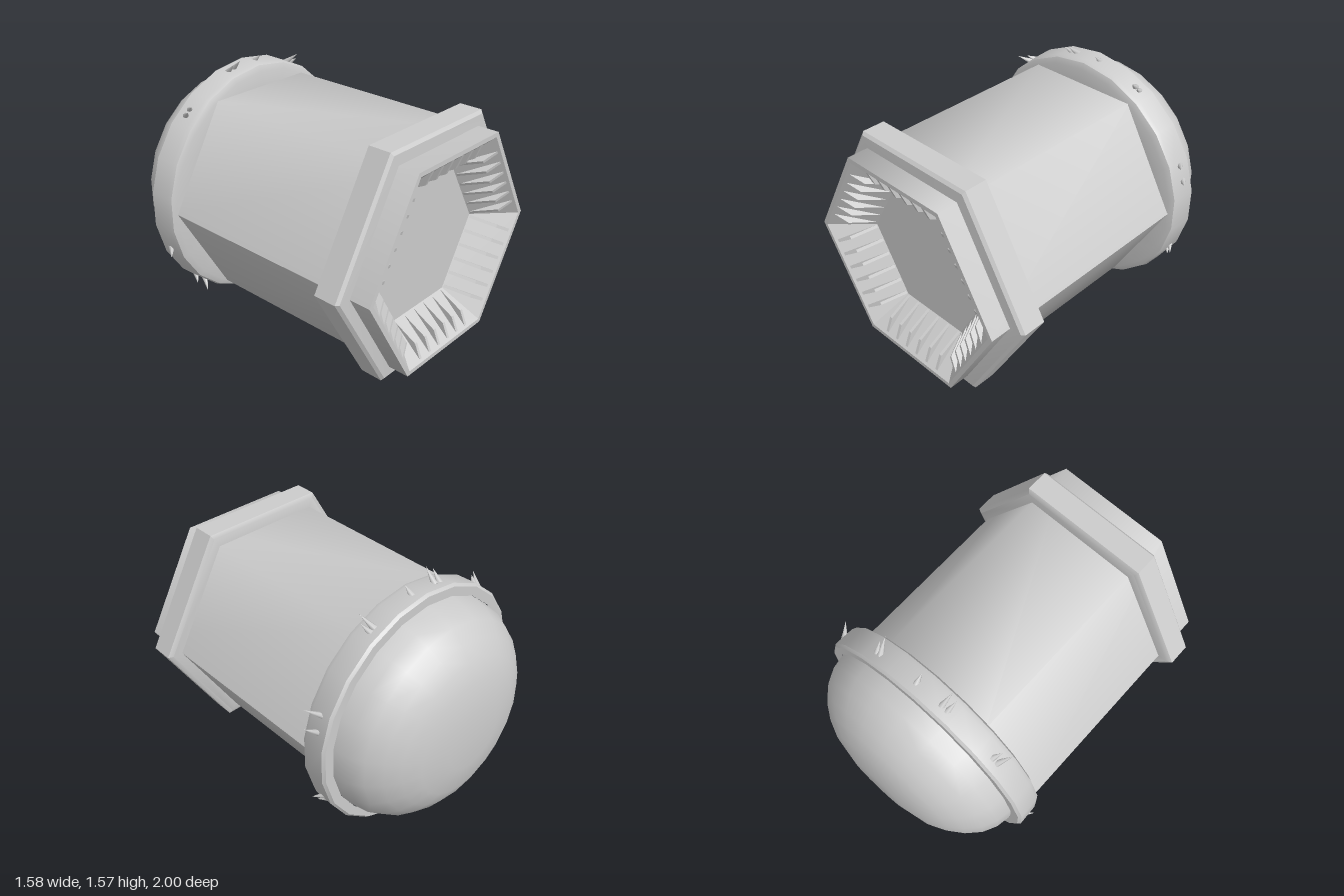
import * as THREE from 'three';
import { toCreasedNormals } from 'three/addons/utils/BufferGeometryUtils.js';

const material = new THREE.MeshStandardMaterial({ color: 0xcccccc });

// Profile of [radius, z] pairs, ordered outward-facing, spun about the z axis
function spin(profile, sides, start = 0, length = Math.PI * 2) {
  const points = profile.map(([r, z]) => new THREE.Vector2(r, z));
  return new THREE.LatheGeometry(points, sides, start, length).rotateX(Math.PI / 2);
}

export function createModel() {
  const model = new THREE.Group();
  model.name = 'hexCanister';
  const core = new THREE.Group();
  core.name = 'canister';
  core.position.y = 0.78;
  model.add(core);

  const add = (name, geometry, parent = core) => {
    const mesh = new THREE.Mesh(geometry, material);
    mesh.name = name;
    parent.add(mesh);
    return mesh;
  };
  const creased = (geometry) => toCreasedNormals(geometry, 0.5);
  const hexStart = Math.PI / 2; // corners on the x axis

  // Hexagonal body in two halves: soft upper and lower edges, sharp side edges
  for (const [name, start] of [['upperBody', hexStart], ['lowerBody', -hexStart]]) {
    const half = spin([[0.7, -0.46], [0.7, 1]], 3, start, Math.PI);
    half.computeVertexNormals();
    add(name, half);
  }

  // Front rim, sloping recess walls and recess floor
  add('recess', creased(spin(
    [[0.7, 1], [0.67, 1], [0.46, 0.8], [0, 0.8]], 6, hexStart)));

  // Raised bevelled collar near the front
  add('collar', creased(spin(
    [[0.69, 0.7], [0.76, 0.705], [0.79, 0.72], [0.79, 0.855], [0.77, 0.87], [0.69, 0.875]],
    6, hexStart)));

  // Six thin triangular fins on each recess wall
  const finShape = new THREE.Shape();
  finShape.moveTo(0.575, 0.99);
  finShape.lineTo(0.48, 0.95);
  finShape.lineTo(0.40, 0.80);
  finShape.lineTo(0.45, 0.80);
  finShape.closePath();
  const width = 0.018;
  const finGeometry = new THREE.ExtrudeGeometry(finShape, { depth: width, bevelEnabled: false });
  finGeometry.translate(0, 0, -width / 2);
  // shape x -> y (outward), shape y -> z, depth -> x
  finGeometry.applyMatrix4(new THREE.Matrix4().makeBasis(
    new THREE.Vector3(0, 1, 0), new THREE.Vector3(0, 0, 1), new THREE.Vector3(1, 0, 0)));
  for (let side = 0; side < 6; side++) {
    const fins = new THREE.Group();
    fins.name = 'wallFins';
    fins.rotation.z = side * Math.PI / 3;
    for (let i = 0; i < 6; i++) {
      add('fin', finGeometry, fins).position.x = (i - 2.5) * 0.087;
    }
    core.add(fins);
  }

  // Round band behind the body
  add('rearBand', creased(spin(
    [[0.68, -0.62], [0.735, -0.62], [0.75, -0.605], [0.745, -0.48],
      [0.735, -0.455], [0.7, -0.44], [0.55, -0.44]].map(([r, z]) => [r, z]), 22)));

  // Smooth rear dome
  add('rearDome', spin(
    [[0, -1], [0.19, -1], [0.37, -0.965], [0.47, -0.92], [0.55, -0.865],
      [0.62, -0.79], [0.66, -0.71], [0.68, -0.6]], 22));

  // Small forward-leaning spikes scattered round the band: [x, y, length]
  const spikes = [
    [0.70, 0.30, 0.11], [0.73, 0.20, 0.08], [0.68, -0.30, 0.08], [0.66, -0.33, 0.06],
    [0.11, -0.74, 0.08], [0.17, -0.73, 0.11], [-0.46, -0.60, 0.10], [-0.53, -0.54, 0.08],
    [-0.71, -0.27, 0.10], [-0.52, 0.55, 0.11], [-0.48, 0.57, 0.07], [-0.17, 0.73, 0.09],
    [-0.13, 0.74, 0.11], [0.05, 0.75, 0.07], [0.33, 0.68, 0.11], [0.36, 0.67, 0.07],
  ];
  const up = new THREE.Vector3(0, 1, 0);
  for (const [x, y, length] of spikes) {
    const out = new THREE.Vector3(x, y, 0).normalize();
    const spike = add('spike', new THREE.ConeGeometry(0.02, length, 7).translate(0, length / 2, 0));
    spike.position.copy(out).multiplyScalar(0.73).setZ(-0.55);
    spike.quaternion.setFromUnitVectors(up, out.setZ(1.1).normalize());
  }

  return model;
}
